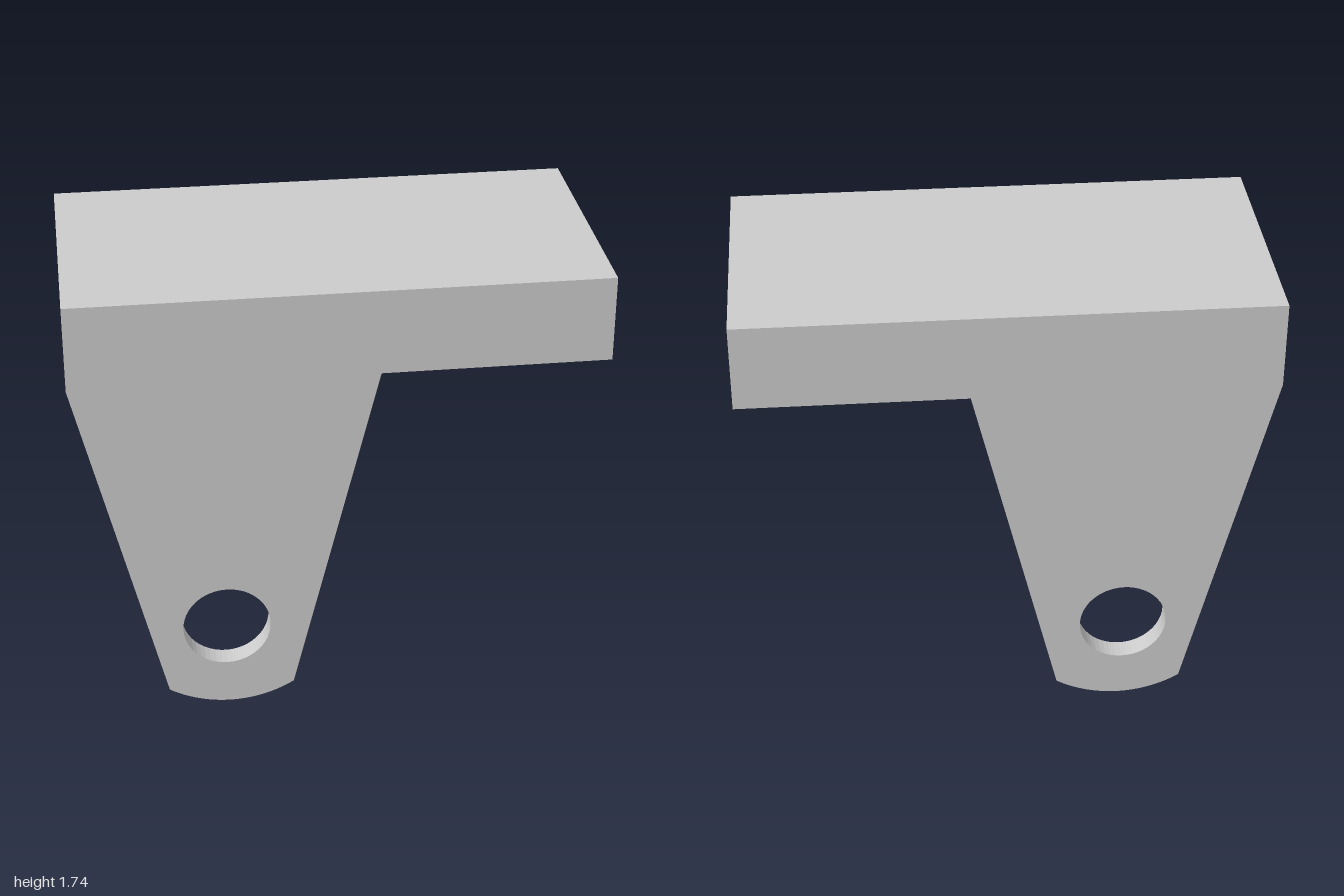
import * as THREE from 'three';

const HALF_DEPTH = 0.507, LEG = 0.083, TOP = 1.74, UNDER = 1.408;

// Tapered side plate with a rounded foot and a pivot hole
function legGeometry() {
  const r = 0.455, a = 0.562;
  const shape = new THREE.Shape();
  shape.moveTo(0.143, UNDER);
  shape.lineTo(-1, UNDER);
  shape.absarc(-0.43, r, r, -Math.PI / 2 - a, -Math.PI / 2 + a, false);
  shape.lineTo(0.143, UNDER);
  const hole = new THREE.Path();
  hole.absarc(-0.443, 0.348, 0.168, 0, Math.PI * 2, true);
  shape.holes.push(hole);
  return new THREE.ExtrudeGeometry(shape, { depth: LEG, bevelEnabled: false, curveSegments: 24 });
}

export function createModel() {
  const group = new THREE.Group();
  group.name = 'bracket';
  const material = new THREE.MeshStandardMaterial({ color: 0xcccccc, flatShading: true });

  // Top block
  const block = new THREE.Mesh(new THREE.BoxGeometry(2, TOP - UNDER, HALF_DEPTH * 2), material);
  block.name = 'topBlock';
  block.position.y = (TOP + UNDER) / 2;
  group.add(block);

  // Front and back legs, flush with the block's faces
  const geometry = legGeometry();
  for (const [name, z] of [['frontLeg', HALF_DEPTH - LEG], ['backLeg', -HALF_DEPTH]]) {
    const leg = new THREE.Mesh(geometry, material);
    leg.name = name;
    leg.position.z = z;
    group.add(leg);
  }
  return group;
}
